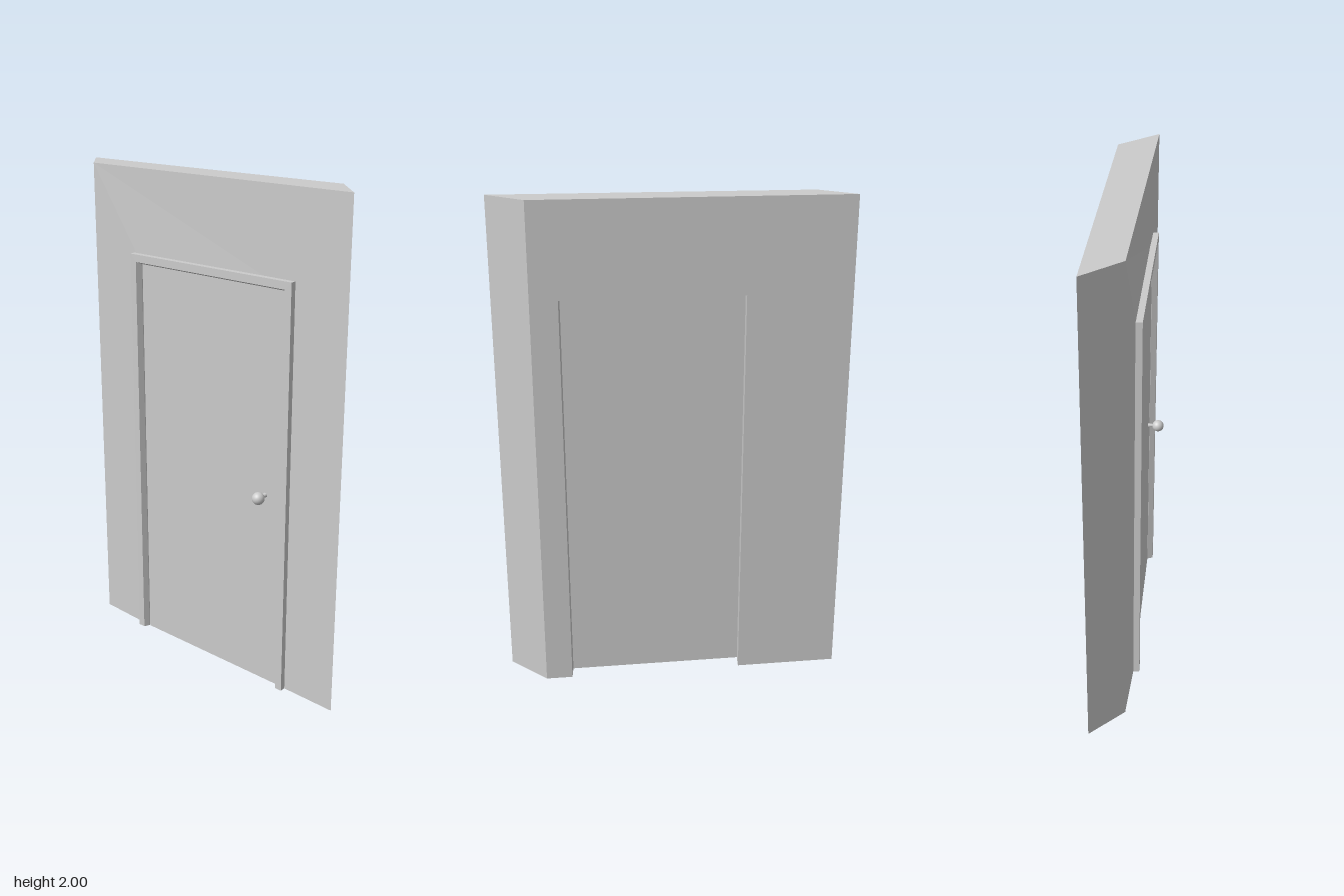
import * as THREE from 'three';

const mat = new THREE.MeshStandardMaterial({ color: 0xcccccc, flatShading: true });
const smooth = new THREE.MeshStandardMaterial({ color: 0xcccccc });

// The doorway stands diagonally: u runs along the wall, w out of its front
const ANGLE = 0.7611;
const ORIGIN_X = 0.112;
const C = Math.cos(ANGLE), S = Math.sin(ANGLE);
const toWorld = (u, y, w) => [ORIGIN_X + C * u - S * w, y, S * u + C * w];

// Joins four-cornered sections (outer front, inner front, inner back, outer back)
// into an arch that runs up the left, over the top and down the right
function archGeometry(sections) {
  const pos = [];
  const quad = (a, b, c, d) => pos.push(...a, ...b, ...c, ...a, ...c, ...d);
  for (let i = 0; i < sections.length - 1; i++) {
    const p = sections[i], q = sections[i + 1];
    for (let j = 0; j < 4; j++) {
      const k = (j + 1) % 4;
      quad(p[j], p[k], q[k], q[j]);
    }
  }
  const first = sections[0], last = sections[sections.length - 1];
  quad(first[3], first[2], first[1], first[0]);
  quad(last[0], last[1], last[2], last[3]);
  const geo = new THREE.BufferGeometry();
  geo.setAttribute('position', new THREE.Float32BufferAttribute(pos, 3));
  geo.computeVertexNormals();
  return geo;
}

function addMesh(parent, name, geometry, material = mat) {
  const mesh = new THREE.Mesh(geometry, material);
  mesh.name = name;
  parent.add(mesh);
  return mesh;
}

export function createModel() {
  const model = new THREE.Group();
  model.name = 'doorway';

  const HALF = 0.357, OPEN_H = 1.63, SHIFT = -0.016, FACE = 0.151;
  // Stations along the arch: side (-1 left, 1 right) and whether at the top
  const stations = [[-1, 0], [-1, 1], [1, 1], [1, 0]];

  // Wall with its opening, ends cut square to x
  addMesh(model, 'wall', archGeometry(stations.map(([s, t]) => {
    const x = 0.448 * s, y = 2 * t, h = OPEN_H * t;
    return [
      [x, y, s < 0 ? -0.345 : 0.533],
      toWorld(SHIFT + s * HALF, h, FACE),
      toWorld(s * HALF, h, 0),
      [x, y, s < 0 ? -0.533 : 0.321],
    ];
  })));

  // Everything else lies in the plane of the wall
  const door = new THREE.Group();
  door.name = 'doorAssembly';
  door.position.x = ORIGIN_X;
  door.rotation.y = -ANGLE;
  model.add(door);

  // Casing around the opening, bevelled on its inner edge
  const casing = [[0.04, 0.174], [0.01, 0.174], [0, FACE], [0.04, FACE - 0.006]];
  addMesh(door, 'casing', archGeometry(stations.map(([s, t]) =>
    casing.map(([r, w]) => [SHIFT + s * (HALF + r), t * (OPEN_H + r), w]))));

  // Door leaf, recessed from the back of the wall
  const leaf = addMesh(door, 'doorLeaf', new THREE.BoxGeometry(0.724, OPEN_H + 0.002, 0.085));
  leaf.position.set(SHIFT / 2, OPEN_H / 2 + 0.001, 0.1075);

  // Knob on a flared stem
  const knob = new THREE.Group();
  knob.name = 'knob';
  knob.position.set(0.264, 0.818, 0.148);
  door.add(knob);
  addMesh(knob, 'knobBall', new THREE.SphereGeometry(0.025, 24, 16), smooth).position.z = 0.045;
  const stem = addMesh(knob, 'knobStem', new THREE.CylinderGeometry(0.006, 0.01, 0.03, 16), smooth);
  stem.rotation.x = Math.PI / 2;
  stem.position.z = 0.013;

  return model;
}
